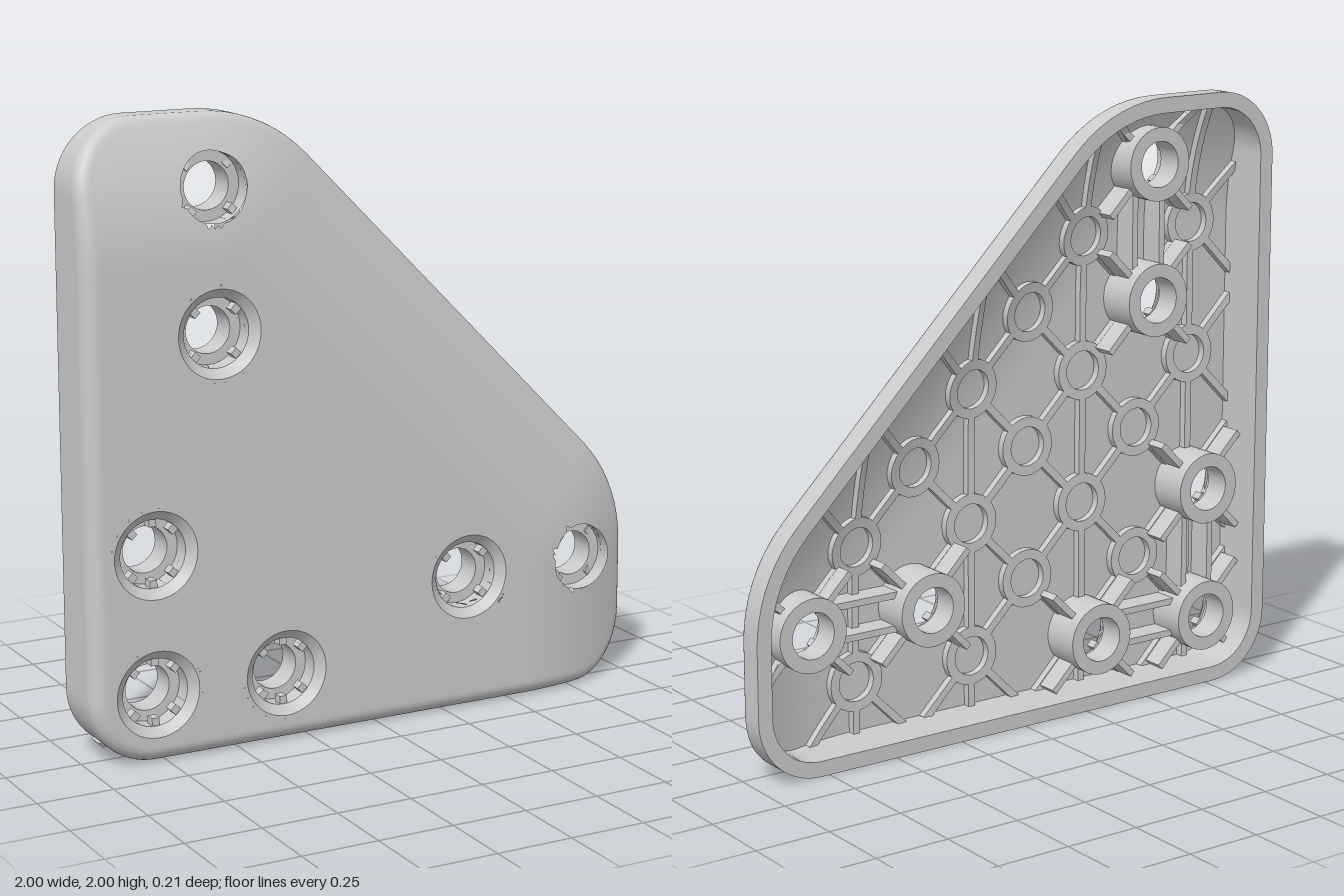
import * as THREE from 'three';
import { toCreasedNormals } from 'three/addons/utils/BufferGeometryUtils.js';

const FRONT = 0.106, BACK = -0.106, WALL = 0.05, BOSS_END = -0.07;
const material = new THREE.MeshStandardMaterial({ color: 0xcccccc });

// rounded corners of the plate: centre x, y, radius, start and end angle
const CORNERS = [
  [0.78, 0.22, 0.22, -90, 0],
  [0.49, 0.45, 0.51, 0, 45],
  [-0.55, 1.49, 0.51, 45, 90],
  [-0.78, 1.78, 0.22, 90, 180],
  [-0.78, 0.22, 0.22, 180, 270],
];
// bolt holes: x, y, and whether they sit on the sloping crown
const BOLTS = [
  [-0.556, 1.78, true], [-0.556, 1.335, false], [-0.78, 0.667, false], [-0.78, 0.222, false],
  [-0.335, 0.222, false], [0.333, 0.445, false], [0.778, 0.445, true],
];

// plate outline moved inwards by inset, straight runs cut to about step
function outline(inset, step) {
  const pts = [];
  CORNERS.forEach(([cx, cy, r, a0, a1], k) => {
    const n = Math.max(8, Math.round((a1 - a0) / 5));
    const at = ([x, y, rad], deg) => {
      const a = deg * Math.PI / 180;
      return new THREE.Vector2(x + (rad - inset) * Math.cos(a), y + (rad - inset) * Math.sin(a));
    };
    for (let i = 0; i <= n; i++) pts.push(at([cx, cy, r], a0 + (a1 - a0) * i / n));
    const next = CORNERS[(k + 1) % CORNERS.length];
    const from = pts[pts.length - 1], to = at(next, next[3]);
    const m = Math.max(1, Math.round(from.distanceTo(to) / step));
    for (let i = 1; i < m; i++) pts.push(from.clone().lerp(to, i / m));
  });
  return pts;
}

// edge lines of the convex outline, for distances measured from the edge
const base = outline(0, 9);
const EDGES = base.map((p, i) => {
  const d = base[(i + 1) % base.length].clone().sub(p).normalize();
  return { p, nx: d.y, ny: -d.x };
});
const CROWN_EDGES = EDGES.filter((e) => e.nx > -1e-3 && e.ny > -1e-3);
const edgeDistance = (edges, x, y) =>
  edges.reduce((m, e) => Math.min(m, (e.p.x - x) * e.nx + (e.p.y - y) * e.ny), 9);

// front surface: broad crown along top, diagonal and right, small fillet all round
function frontZ(x, y) {
  const c = Math.max(0, 0.45 - Math.max(0, edgeDistance(CROWN_EDGES, x, y)));
  const drop = c * c / 1.7;
  const r = 0.05 - 0.03 * Math.min(1, drop / 0.119);
  const e = Math.max(0, r - Math.max(0, edgeDistance(EDGES, x, y)));
  return FRONT - drop - (r - Math.sqrt(Math.max(0, r * r - e * e)));
}
const floorZ = (x, y) => frontZ(x, y) - 0.04;

// closed loops joined into a surface, leaving out round holes [x, y, radius]
function loft(rows, holes = []) {
  const n = rows[0].length, pos = [], index = [], snap = 0.012;
  rows.forEach((row) => row.forEach((p) => pos.push(p.x, p.y, p.z)));
  const inHole = (ids) => holes.some(([hx, hy, r]) => {
    let x = 0, y = 0;
    ids.forEach((i) => { x += pos[i * 3] / 3; y += pos[i * 3 + 1] / 3; });
    return Math.hypot(x - hx, y - hy) < r;
  });
  for (let k = 0; k < rows.length - 1; k++) for (let i = 0; i < n; i++) {
    const a = k * n + i, b = k * n + (i + 1) % n, c = b + n, d = a + n;
    for (const t of [[a, b, c], [a, c, d]]) if (!inHole(t)) index.push(...t);
  }
  // pull vertices by a hole onto its rim
  for (let i = 0; i < pos.length; i += 3) for (const [hx, hy, r] of holes) {
    const dx = pos[i] - hx, dy = pos[i + 1] - hy, q = Math.hypot(dx, dy);
    if (q > 1e-6 && q < r + snap) {
      pos[i] = hx + dx * r / q;
      pos[i + 1] = hy + dy * r / q;
    }
  }
  const g = new THREE.BufferGeometry();
  g.setAttribute('position', new THREE.Float32BufferAttribute(pos, 3));
  g.setIndex(index);
  return g;
}

// loops running from the edge to the middle, lifted to a height rule
function skinRows(start, step, height) {
  const insets = [0, 0.002, 0.006, 0.012, 0.02, 0.03, 0.04, 0.05, 0.07, 0.09, 0.11, 0.13, 0.15];
  const lift = (p) => new THREE.Vector3(p.x, p.y, height(p.x, p.y));
  const rows = insets.map((d) => outline(start + d, step));
  const last = rows[rows.length - 1], mid = new THREE.Vector2(-0.3, 0.7), n = Math.round(1.1 / step);
  for (let k = 1; k <= n; k++) rows.push(last.map((p) => p.clone().lerp(mid, k / n * 0.9999)));
  return rows.map((row) => row.map(lift));
}

// bar between two points that follows the cavity floor; top is its height or end z
function ribGeometry(a, b, width, height, endZ) {
  const L = a.distanceTo(b);
  const g = new THREE.BoxGeometry(L, width, 1, Math.max(1, Math.ceil(L / 0.06)), 1, 1);
  g.rotateZ(Math.atan2(b.y - a.y, b.x - a.x)).translate((a.x + b.x) / 2, (a.y + b.y) / 2, 0);
  const p = g.attributes.position;
  for (let i = 0; i < p.count; i++) {
    const f = floorZ(p.getX(i), p.getY(i));
    p.setZ(i, p.getZ(i) > 0 ? f + 0.01 : endZ === undefined ? f - height : Math.min(f, endZ));
  }
  g.computeVertexNormals();
  return g;
}

// turned part about z at (x, y); conform adjusts each vertex height
function turned(profile, x, y, sides, conform) {
  const g = new THREE.LatheGeometry(profile.map((q) => new THREE.Vector2(...q)), sides);
  g.rotateX(Math.PI / 2).translate(x, y, 0);
  const p = g.attributes.position;
  for (let i = 0; i < p.count; i++) p.setZ(i, conform(p.getX(i), p.getY(i), p.getZ(i)));
  return toCreasedNormals(g, 0.6);
}

export function createModel() {
  const model = new THREE.Group();
  const add = (name, g, parent = model) => {
    const m = new THREE.Mesh(g, material);
    m.name = name;
    parent.add(m);
  };
  const smooth = (name, g) => { g.computeVertexNormals(); add(name, g); };
  const group = (name) => {
    const g = new THREE.Group();
    g.name = name;
    model.add(g);
    return g;
  };

  // shell: front skin, side wall, rim, inner wall and cavity floor
  const flat = (inset) => outline(inset, 0.023).map((p) => new THREE.Vector3(p.x, p.y, BACK));
  const front = skinRows(0, 0.023, frontZ);
  smooth('frontSkin', loft(front, BOLTS.map(([x, y, c]) => [x, y, c ? 0.11 : 0.14])));
  smooth('sideWall', loft([flat(0), front[0]]));
  smooth('backRim', loft([flat(WALL), flat(0)]));
  const floor = skinRows(WALL, 0.03, floorZ);
  smooth('cavityFloor', loft([...floor].reverse(), BOLTS.map(([x, y]) => [x, y, 0.1])));
  smooth('innerWall', loft([floor[0], floor[0].map((p) => new THREE.Vector3(p.x, p.y, BACK))]));

  // counterbored bosses; the last profile point is fitted to the floor
  const bosses = group('bosses');
  for (const [x, y, crown] of BOLTS) {
    const mouth = crown ? [[0.11, 0.08]] : [[0.15, FRONT - 0.0006], [0.14, FRONT - 0.0005], [0.11, 0.08]];
    const profile = [...mouth, [0.11, 0.02], [0.075, 0.02], [0.075, BOSS_END], [0.12, BOSS_END], [0.12, 0.5]];
    add('boss', turned(profile, x, y, 40, (px, py, z) => (z > 0.4 ? floorZ(px, py) + 0.01 : z)), bosses);
  }

  // fins round each boss
  const fins = group('bossFins');
  for (const [x, y] of BOLTS) for (let k = 0; k < 4; k++) {
    const a = Math.PI / 4 + k * Math.PI / 2, dir = new THREE.Vector2(Math.cos(a), Math.sin(a));
    const c = new THREE.Vector2(x, y);
    add('fin', ribGeometry(c.clone().addScaledVector(dir, 0.11), c.clone().addScaledVector(dir, 0.23), 0.022, 0, -0.03), fins);
  }

  // twin bars joining neighbouring bosses
  const bars = group('bossBars');
  for (const [i, j] of [[0, 1], [2, 3], [3, 4], [5, 6]]) {
    const a = new THREE.Vector2(BOLTS[i][0], BOLTS[i][1]), b = new THREE.Vector2(BOLTS[j][0], BOLTS[j][1]);
    const d = b.clone().sub(a).normalize();
    a.addScaledVector(d, 0.1);
    b.addScaledVector(d, -0.1);
    for (const s of [-0.055, 0.055]) {
      const off = new THREE.Vector2(-d.y * s, d.x * s);
      add('bar', ribGeometry(a.clone().add(off), b.clone().add(off), 0.022, 0, -0.015), bars);
    }
  }

  // lattice of rings and ribs over the cavity floor
  const lattice = group('floorLattice');
  const S = 0.2222;
  const node = (i, j) => new THREE.Vector2(-0.778 + S * i, S * (j + 1));
  const inside = (p) => edgeDistance(EDGES, p.x, p.y) > 0.15;
  for (let i = -1; i <= 8; i++) for (let j = -2; j <= 9; j++) {
    if ((i + j) % 2) continue;
    const c = node(i, j);
    const isBolt = BOLTS.some(([x, y]) => Math.hypot(x - c.x, y - c.y) < 0.05);
    if (inside(c) && !isBolt) {
      const ring = [[0.065, 0.01], [0.065, -0.025], [0.098, -0.025], [0.098, 0.01]];
      add('ring', turned(ring, c.x, c.y, 24, (x, y, z) => z + floorZ(x, y)), lattice);
    }
    for (const [di, dj] of i % 2 ? [[1, 1], [1, -1]] : [[1, 1], [1, -1], [0, 2]]) {
      let a = c.clone(), b = node(i + di, j + dj);
      if (!inside(a)) [a, b] = [b, a];
      if (!inside(a)) continue;
      const d = b.clone().sub(a).normalize();
      if (inside(b)) b.addScaledVector(d, -0.085);
      a.addScaledVector(d, 0.085);
      while (edgeDistance(EDGES, b.x, b.y) < 0.04) b.addScaledVector(d, -0.01);
      if (b.clone().sub(a).dot(d) > 0.02) add('rib', ribGeometry(a, b, 0.025, 0.025), lattice);
    }
  }
  return model;
}
